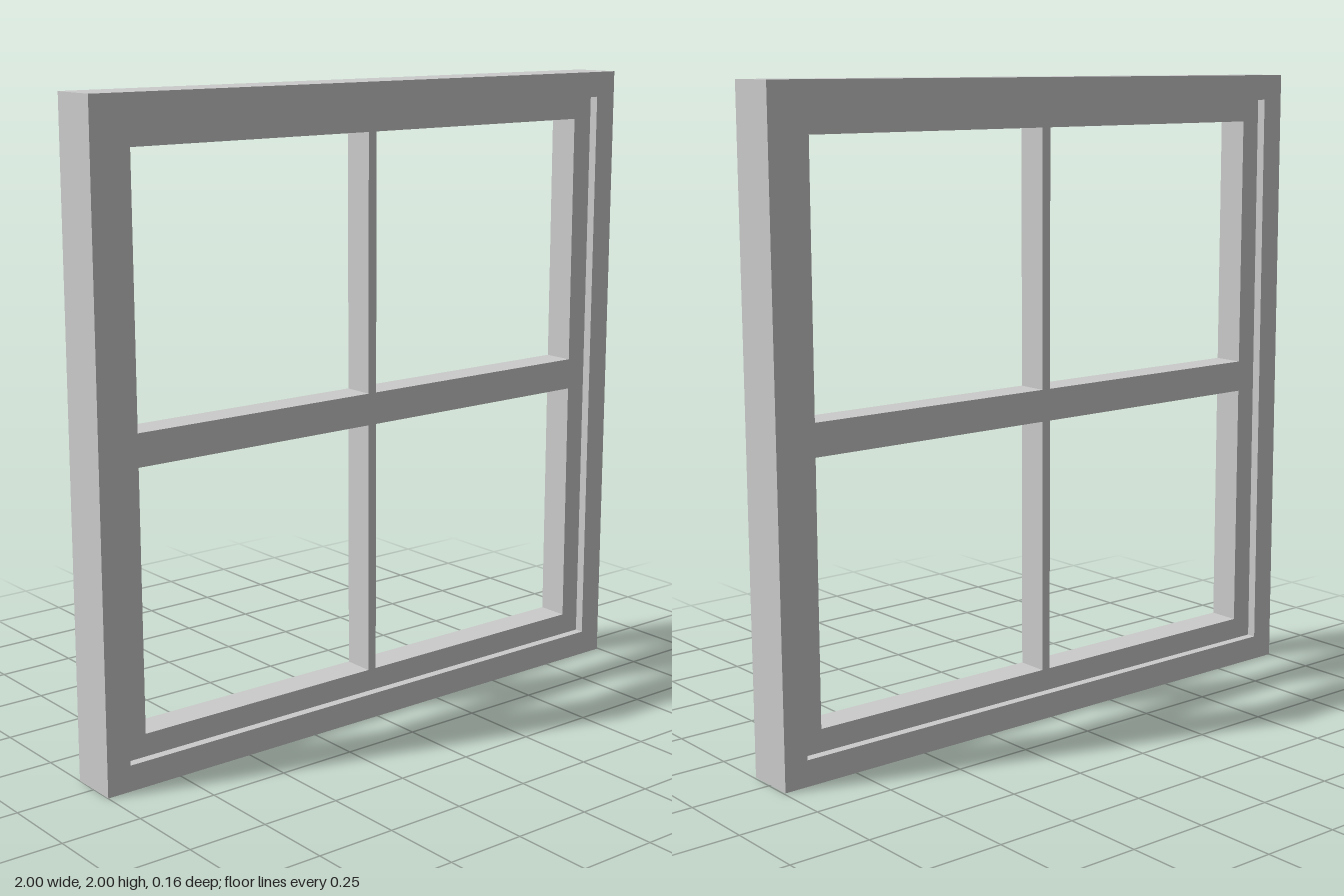
import * as THREE from 'three';

const material = new THREE.MeshStandardMaterial({ color: 0xcccccc });

// Closed rectangle outline from two opposite corners, with an optional sideways lean at the top
function rect(target, x0, y0, x1, y1, lean = 0) {
  const shift = y => lean * (y - 1);
  target.moveTo(x0 + shift(y0), y0);
  target.lineTo(x1 + shift(y0), y0);
  target.lineTo(x1 + shift(y1), y1);
  target.lineTo(x0 + shift(y1), y1);
  target.closePath();
  return target;
}

// Flat panel with holes, centred on z = 0
function panel(name, shape, depth) {
  const geometry = new THREE.ExtrudeGeometry(shape, { depth, bevelEnabled: false });
  geometry.translate(0, 0, -depth / 2);
  const mesh = new THREE.Mesh(geometry, material);
  mesh.name = name;
  return mesh;
}

export function createModel() {
  const group = new THREE.Group();
  group.name = 'window';

  // Deep outer frame, very slightly out of square
  const lean = 0.0027;
  const frame = rect(new THREE.Shape(), -0.997, 0, 0.997, 2, lean);
  frame.holes.push(rect(new THREE.Path(), -0.92, 0.08, 0.92, 1.92, lean));
  group.add(panel('outerFrame', frame, 0.158));

  // Recessed sash with four panes, split by a wide rail and a thin upright bar
  const sash = rect(new THREE.Shape(), -0.925, 0.075, 0.925, 1.925);
  for (const [x0, x1] of [[-0.85, -0.015], [0.015, 0.85]]) {
    for (const [y0, y1] of [[0.15, 0.95], [1.05, 1.85]]) {
      sash.holes.push(rect(new THREE.Path(), x0, y0, x1, y1));
    }
  }
  group.add(panel('sash', sash, 0.1));

  return group;
}
